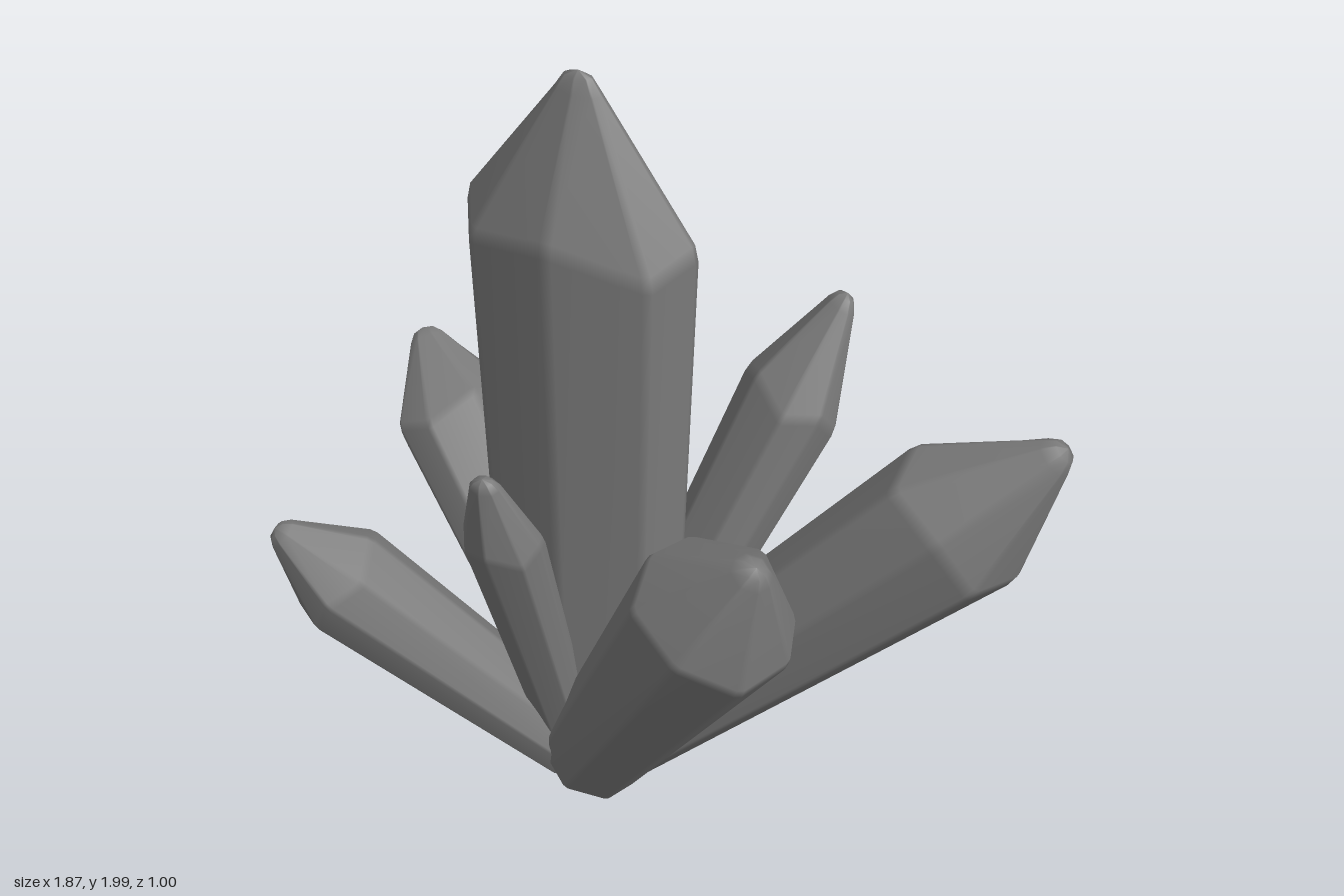
import * as THREE from 'three';

const UP = new THREE.Vector3(0, 1, 0);
const BEVEL = 0.07;

// Eight corners of the unit cross-section; the diagonal ones sit lower on the shoulder
const corners = Array.from({ length: 8 }, (_, i) => {
  const a = (i * Math.PI) / 4;
  const diagonal = i % 2;
  return new THREE.Vector3(
    Math.sin(a) * (diagonal ? 1.1 : 1),
    diagonal ? -0.03 : 0,
    Math.cos(a) * (diagonal ? 0.9 : 1),
  );
});

// Each corner is split in two for a narrow soft edge
const section = corners.flatMap((c, i) => [
  c.clone().lerp(corners[(i + 7) % 8], BEVEL),
  c.clone().lerp(corners[(i + 1) % 8], BEVEL),
]);

// One crystal: tapered shaft, uneven shoulder, blunt tip
function crystal(name, base, tip, rx, rz, taper, roll, material) {
  const from = new THREE.Vector3(...base);
  const axis = new THREE.Vector3(...tip).sub(from);
  const length = axis.length();
  const blunt = (0.03 + 0.1 * rx) / rx;
  // radius, height along the axis, amount of shoulder dip
  const rings = [
    [0, 0, 0], [taper * 0.94, 0, 0], [taper, 0.01, 0],
    [0.995, 0.79, 1], [0.965, 0.812, 1],
    [blunt, 0.974, 0], [blunt * 0.6, 0.993, 0], [0, 1, 0],
  ];
  const n = section.length;
  const positions = [];
  const indices = [];
  rings.forEach(([r, t, dip], k) => {
    section.forEach((p, i) => {
      positions.push(p.x * r * rx, (t + p.y * dip) * length, p.z * r * rz);
      if (k === 0) return;
      const j = (i + 1) % n;
      const low = (k - 1) * n, high = k * n;
      indices.push(low + i, low + j, high + j, low + i, high + j, high + i);
    });
  });
  const geometry = new THREE.BufferGeometry();
  geometry.setAttribute('position', new THREE.Float32BufferAttribute(positions, 3));
  geometry.setIndex(indices);
  geometry.rotateY(THREE.MathUtils.degToRad(roll));
  geometry.computeVertexNormals();

  const mesh = new THREE.Mesh(geometry, material);
  mesh.name = name;
  mesh.position.copy(from);
  mesh.quaternion.setFromUnitVectors(UP, axis.normalize());
  return mesh;
}

export function createModel() {
  const group = new THREE.Group();
  group.name = 'crystalCluster';
  const material = new THREE.MeshStandardMaterial({ color: 0x7c7c7c });

  // name, base centre, tip, half width, half depth, base taper, roll in degrees
  const crystals = [
    ['mainCrystal', [-0.2, 0.1, 0], [-0.2, 2, 0], 0.305, 0.162, 0.8, 0],
    ['backRightCrystal', [-0.2, 0.11, -0.03], [-0.92, 0.89, -0.38], 0.17, 0.15, 0.65, 62],
    ['frontRightCrystal', [-0.22, 0.09, 0.04], [-0.88, 0.73, 0.35], 0.152, 0.143, 0.7, -62],
    ['smallFrontCrystal', [-0.22, 0.1, 0.06], [-0.27, 1.09, 0.34], 0.107, 0.08, 0.68, 0],
    ['frontLeftCrystal', [-0.17, 0.08, 0.05], [0.46, 1.14, 0.38], 0.202, 0.192, 0.66, 0],
    ['farLeftCrystal', [-0.16, 0.1, 0.01], [0.92, 1.24, -0.23], 0.197, 0.197, 0.68, 0],
    ['backLeftCrystal', [-0.16, 0.1, -0.03], [0.25, 1.31, -0.47], 0.16, 0.12, 0.65, -43],
  ];
  for (const c of crystals) group.add(crystal(...c, material));
  return group;
}
